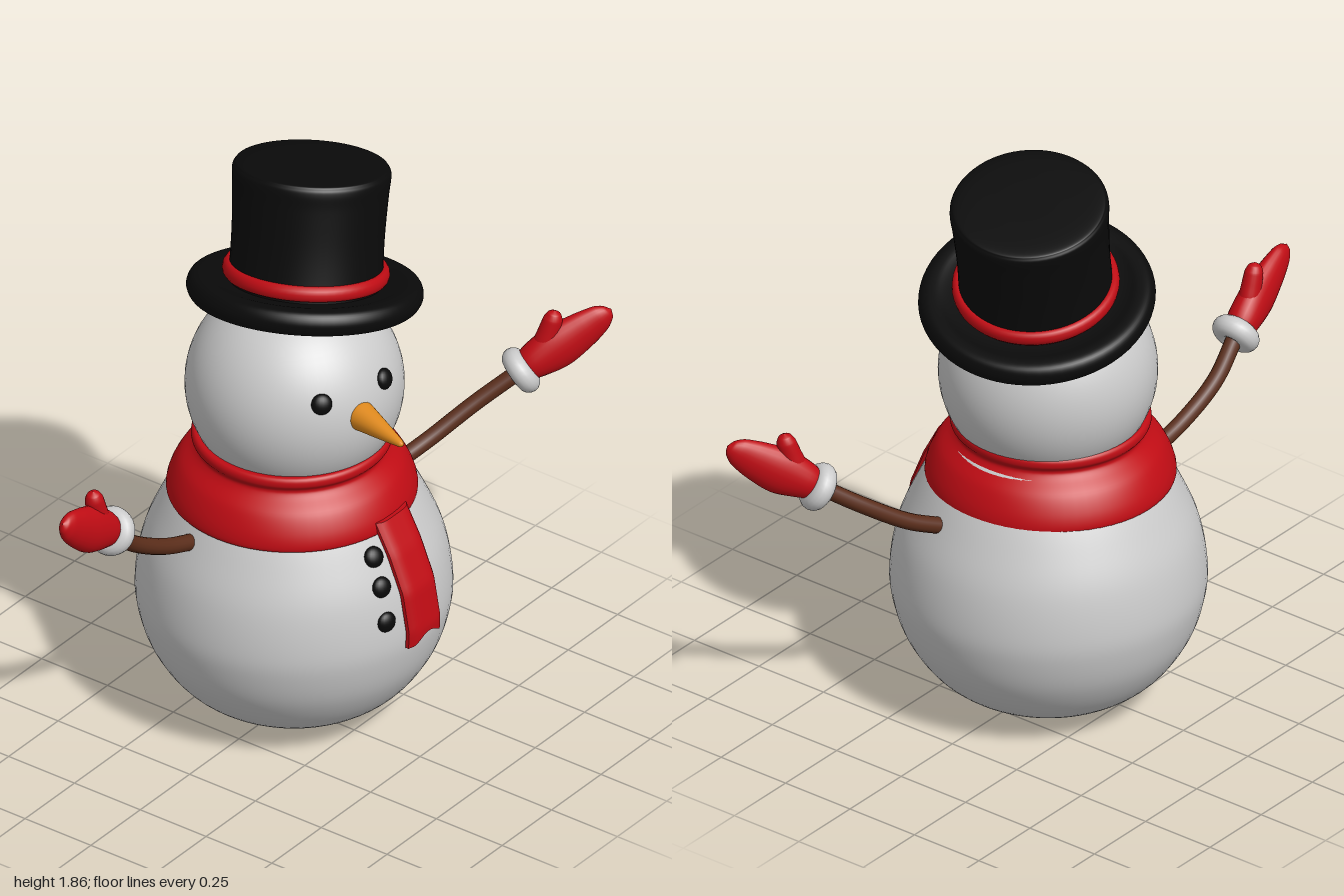
import * as THREE from 'three';

const mat = (color) => new THREE.MeshStandardMaterial({ color, roughness: 0.8 });
const SNOW = mat(0xcccccc), RED = mat(0xc00c14), BLACK = mat(0x0a0a0a);
const WOOD = mat(0x5a2d1a), ORANGE = mat(0xe08a1e);
const CX = -0.018, CZ = -0.052; // vertical axis of the figure

function add(parent, name, geometry, material, pos = [0, 0, 0]) {
  const mesh = new THREE.Mesh(geometry, material);
  mesh.name = name;
  mesh.position.set(...pos);
  parent.add(mesh);
  return mesh;
}

// Smooth lathe through a few profile points [radius, y]
function lathe(points, samples = 48, segments = 64) {
  const curve = new THREE.SplineCurve(points.map((p) => new THREE.Vector2(...p)));
  const profile = curve.getPoints(samples).map((p) => new THREE.Vector2(Math.max(p.x, 0), p.y));
  return new THREE.LatheGeometry(profile, segments);
}

// Elliptical loft in the local XY plane; rows are [x, y, half width, half thickness]
function loft(rows, steps = 28, sides = 24) {
  const path = new THREE.CatmullRomCurve3(rows.map((r) => new THREE.Vector3(r[0], r[1], 0)));
  const size = new THREE.CatmullRomCurve3(rows.map((r) => new THREE.Vector3(r[2], r[3], 0)));
  const pos = [], index = [];
  for (let i = 0; i <= steps; i++) {
    const s = i / steps;
    const c = path.getPoint(s), t = path.getTangent(s), r = size.getPoint(s);
    for (let j = 0; j < sides; j++) {
      const a = (j / sides) * Math.PI * 2;
      const w = Math.cos(a) * Math.max(r.x, 0.0005), d = Math.sin(a) * Math.max(r.y, 0.0005);
      pos.push(c.x + t.y * w, c.y - t.x * w, -d);
      if (i < steps) {
        const k = i * sides + j, n = i * sides + ((j + 1) % sides);
        index.push(k, k + sides, n, n, k + sides, n + sides);
      }
    }
  }
  // Orient every triangle outward
  for (let f = 0; f < index.length; f += 3) [index[f + 1], index[f + 2]] = [index[f + 2], index[f + 1]];
  const g = new THREE.BufferGeometry();
  g.setAttribute('position', new THREE.Float32BufferAttribute(pos, 3));
  g.setIndex(index);
  // Check the winding against the outward direction of a middle ring
  const at = (i) => new THREE.Vector3().fromArray(pos, i * 3);
  const m = Math.floor(steps / 2) * sides;
  const tri = index.slice(m * 6, m * 6 + 3).map(at);
  const normal = tri[1].clone().sub(tri[0]).cross(tri[2].clone().sub(tri[0]));
  if (normal.dot(at(m).sub(path.getPoint(0.5))) < 0) g.setIndex(index.reverse());
  g.computeVertexNormals();
  return g;
}

// Radius of the body at the heights covered by the buttons and scarf tail
const bodyPoints = [[0, 0], [0.12, 0.006], [0.25, 0.04], [0.36, 0.115], [0.44, 0.23], [0.478, 0.35],
  [0.483, 0.45], [0.46, 0.58], [0.41, 0.7], [0.35, 0.81], [0.27, 0.92], [0, 0.99]];
function bodyRadius(y) {
  const i = bodyPoints.findIndex((p) => p[1] >= y);
  const [r0, y0] = bodyPoints[i - 1], [r1, y1] = bodyPoints[i];
  return r0 + ((r1 - r0) * (y - y0)) / (y1 - y0);
}

// Flattened pebble pressed into a surface, facing direction dir
function pebble(parent, name, pos, dir, r) {
  const m = add(parent, name, new THREE.SphereGeometry(r, 20, 14), BLACK, pos);
  m.quaternion.setFromUnitVectors(new THREE.Vector3(0, 0, 1), dir.normalize());
  m.scale.z = 0.6;
}

function buildHat() {
  const hat = new THREE.Group();
  hat.name = 'hat';
  hat.position.set(-0.035, 1.415, -0.13);
  hat.quaternion.setFromUnitVectors(new THREE.Vector3(0, 1, 0), new THREE.Vector3(-0.11, 1, -0.24).normalize());
  add(hat, 'hatBrim', lathe([[0, -0.025], [0.2, -0.028], [0.31, -0.04], [0.345, -0.034], [0.362, 0.0],
    [0.348, 0.034], [0.31, 0.04], [0.24, 0.03], [0, 0.03]]), BLACK);
  add(hat, 'hatCrown', lathe([[0.238, 0.0], [0.234, 0.1], [0.234, 0.2], [0.239, 0.32], [0.243, 0.375],
    [0.237, 0.396], [0.215, 0.405], [0.1, 0.408], [0, 0.408]], 60), BLACK);
  const band = add(hat, 'hatBand', new THREE.TorusGeometry(0.238, 0.018, 12, 64), RED, [0, 0.062, 0]);
  band.rotation.x = Math.PI / 2;
  band.scale.z = 1.4;
  return hat;
}

// Bent strip lying on the body, thinner at its edges and notched at the bottom
function scarfTail() {
  const g = new THREE.BoxGeometry(1, 1, 1, 2, 24, 12), p = g.attributes.position;
  for (let i = 0; i < p.count; i++) {
    const u = p.getX(i), v = p.getY(i) + 0.5, w = p.getZ(i) * 2;
    const y = 0.41 + v * 0.39 + 0.02 * (1 - v) ** 4 * Math.cos(w * 2.4);
    const round = 1 - 0.6 * Math.abs(w) ** 6;
    const x = CX + bodyRadius(y) + 0.004 + (u + 0.5) * 0.03 * round;
    p.setXYZ(i, x, y, -0.048 + w * 0.077);
  }
  g.computeVertexNormals();
  return g;
}

function buildArm(name, points, handAt, yaw) {
  const arm = new THREE.Group();
  arm.name = name;
  const path = new THREE.CatmullRomCurve3(points.map((p) => new THREE.Vector3(...p)));
  add(arm, 'stickArm', new THREE.TubeGeometry(path, 24, 0.026, 14), WOOD);
  add(arm, 'shoulderEnd', new THREE.SphereGeometry(0.026, 14, 10), WOOD, points[0]);
  const hand = new THREE.Group();
  hand.name = 'hand';
  hand.position.set(...handAt);
  hand.rotation.y = yaw;
  const cuff = add(hand, 'mittenCuff', new THREE.TorusGeometry(0.043, 0.034, 16, 32), SNOW);
  cuff.rotation.set(0, Math.PI / 2, 0.57, 'ZYX');
  add(hand, 'mitten', loft([[-0.01, -0.005, 0, 0], [0.0, 0.0, 0.04, 0.038], [0.045, 0.03, 0.06, 0.05],
    [0.115, 0.07, 0.075, 0.048], [0.2, 0.122, 0.062, 0.036], [0.25, 0.155, 0.045, 0.026],
    [0.272, 0.17, 0.025, 0.016], [0.282, 0.178, 0, 0]], 40), RED);
  add(hand, 'mittenThumb', loft([[0.07, 0.05, 0, 0], [0.075, 0.08, 0.04, 0.034], [0.088, 0.13, 0.034, 0.031],
    [0.1, 0.17, 0.03, 0.028], [0.104, 0.19, 0.02, 0.019], [0.106, 0.2, 0, 0]], 30), RED);
  arm.add(hand);
  return arm;
}

export function createModel() {
  const model = new THREE.Group();
  model.name = 'snowman';

  // Snow body and head
  add(model, 'body', lathe(bodyPoints, 64), SNOW, [CX, 0, CZ]);
  const head = [CX, 1.13, CZ - 0.003], R = 0.335;
  add(model, 'head', new THREE.SphereGeometry(R, 56, 40), SNOW, head);

  // Eyes
  for (const z of [0.14, -0.09]) {
    const dy = 0.11, dz = z - head[2];
    const dx = Math.sqrt(R * R - dy * dy - dz * dz);
    pebble(model, 'eye', [head[0] + dx, head[1] + dy, z], new THREE.Vector3(dx, dy, dz), 0.033);
  }

  // Carrot nose
  const noseDir = new THREE.Vector3(0.21, 0, 0.06).normalize();
  const nose = add(model, 'nose', lathe([[0, -0.01], [0.035, -0.008], [0.046, 0.008], [0.04, 0.05], [0.026, 0.13],
    [0.012, 0.205], [0.006, 0.216], [0, 0.219]], 40, 24), ORANGE, [0.285, 1.165, 0.022]);
  nose.quaternion.setFromUnitVectors(new THREE.Vector3(0, 1, 0), noseDir);

  // Buttons
  for (const [y, z] of [[0.705, 0.065], [0.615, 0.075], [0.505, 0.085]]) {
    const dz = z - CZ, dx = Math.sqrt(bodyRadius(y) ** 2 - dz * dz);
    pebble(model, 'button', [CX + dx, y, z], new THREE.Vector3(dx, (y - 0.43) * 0.8, dz), 0.033);
  }

  // Scarf
  add(model, 'scarfCollar', lathe([[0.34, 0.765], [0.365, 0.755], [0.383, 0.765], [0.374, 0.81], [0.345, 0.865],
    [0.303, 0.905], [0.293, 0.925], [0.306, 0.945], [0.305, 0.965], [0.29, 0.973], [0.25, 0.96]], 60),
  RED, [CX, 0, CZ + 0.01]);
  add(model, 'scarfTail', scarfTail(), RED);

  model.add(buildHat());

  // Stick arms with mittens
  model.add(buildArm('rightArm', [[-0.12, 0.695, 0.3], [-0.135, 0.745, 0.45], [-0.147, 0.83, 0.6], [-0.138, 0.93, 0.71]],
    [-0.136, 0.937, 0.715], -Math.PI / 2 + 0.09));
  model.add(buildArm('leftArm', [[0.1, 0.695, -0.42], [0.145, 0.745, -0.53], [0.215, 0.83, -0.655], [0.3, 0.92, -0.77]],
    [0.302, 0.922, -0.775], 0.88));
  return model;
}
